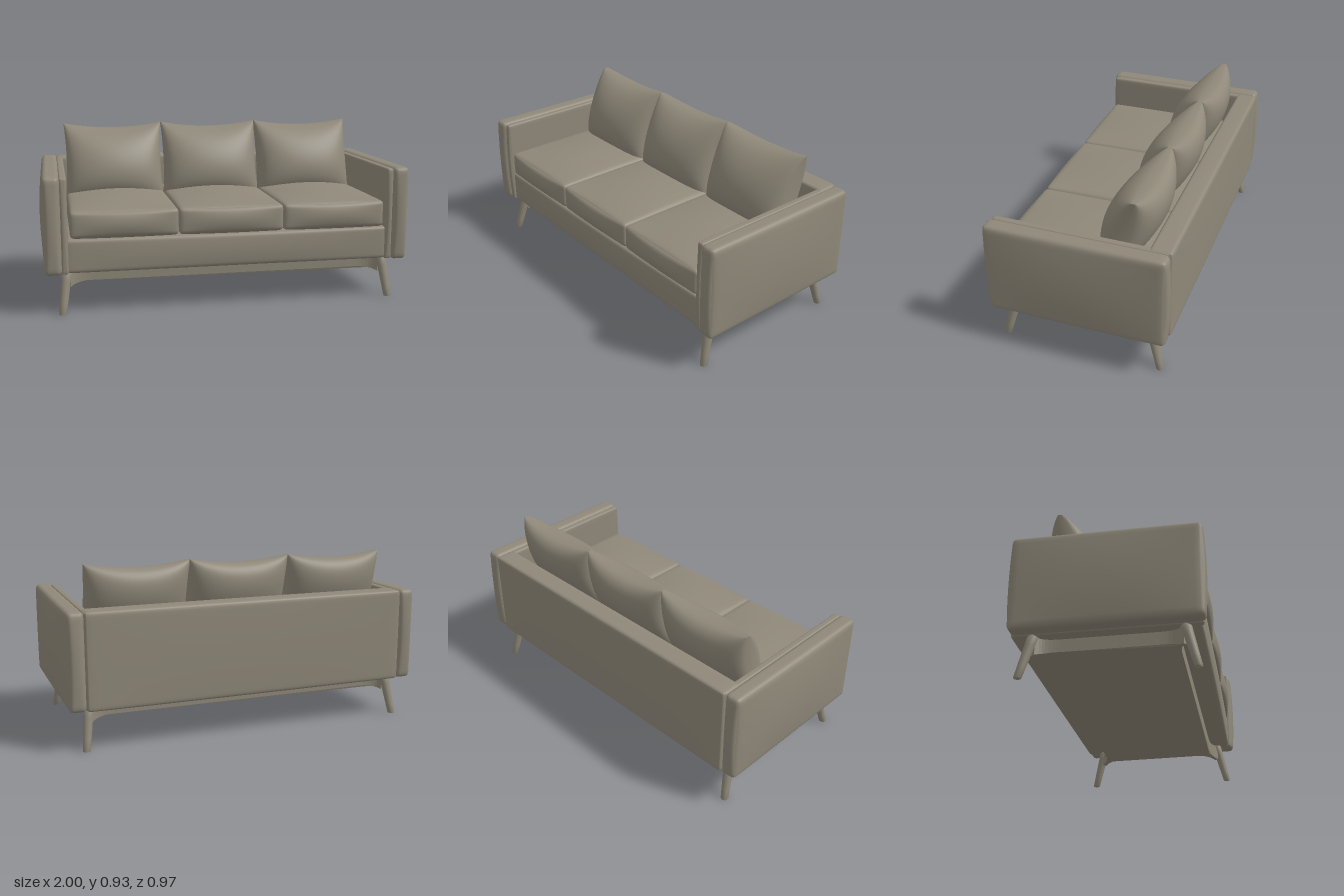
import * as THREE from 'three';
import { mergeVertices } from 'three/addons/utils/BufferGeometryUtils.js';

const fabric = new THREE.MeshStandardMaterial({ color: 0x8f8879 });
fabric.name = 'taupe fabric';

// Moves every vertex of a geometry by a rule and rebuilds smooth normals
function reshape(geometry, rule) {
  geometry.deleteAttribute('uv');
  geometry.deleteAttribute('normal');
  const g = mergeVertices(geometry, 1e-5);
  const p = g.attributes.position;
  const v = new THREE.Vector3();
  for (let i = 0; i < p.count; i++) {
    v.fromBufferAttribute(p, i);
    rule(v);
    p.setXYZ(i, v.x, v.y, v.z);
  }
  g.computeVertexNormals();
  return g;
}

// Upholstered box from min to max: rounded edges of radius r, faces swelling by bulge
function softBox(min, max, r, bulge) {
  const half = max.map((m, i) => (m - min[i]) / 2);
  const mid = max.map((m, i) => (m + min[i]) / 2);
  const axes = ['x', 'y', 'z'];
  const g = reshape(new THREE.BoxGeometry(2, 2, 2, 22, 22, 22), (v) => {
    const t = axes.map((a) => Math.sin((v[a] * Math.PI) / 2));
    const inner = t.map((k, i) => THREE.MathUtils.clamp(k * half[i], r - half[i], half[i] - r));
    const out = new THREE.Vector3(...t.map((k, i) => k * half[i] - inner[i])).setLength(r);
    axes.forEach((a, i) => {
      const [j, k] = [(i + 1) % 3, (i + 2) % 3];
      const swell = bulge[i] * t[i] * (1 - t[j] ** 2) * (1 - t[k] ** 2);
      v[a] = mid[i] + inner[i] + out[a] + swell;
    });
  });
  return g;
}

// Leaning scatter cushion with pinched corners
function pillow() {
  return reshape(new THREE.BoxGeometry(2, 2, 2, 30, 30, 2), (v) => {
    const u = Math.sin((v.x * Math.PI) / 2);
    const w = Math.sin((v.y * Math.PI) / 2);
    const full = Math.max(0, 1 - u * u) ** 0.36 * Math.max(0, 1 - w * w) ** 0.5;
    const depth = 0.01 + (v.z > 0 ? 0.147 : 0.132) * full;
    v.x = u * (0.283 - 0.012 * (1 - w * w));
    v.y = 0.715 + w * (0.218 - 0.028 * (1 - u * u));
    v.z = -0.205 - 0.065 * w + v.z * depth;
  });
}

// Splayed, tapered leg with level ends
function leg(sx, sz) {
  const g = new THREE.CylinderGeometry(0.028, 0.02, 0.23, 20, 4);
  return reshape(g, (v) => {
    v.y += 0.115;
    const k = 1 - v.y / 0.23;
    v.x += sx * (0.867 + 0.028 * k);
    v.z += sz * (0.37 + 0.058 * k);
  });
}

// Underframe whose corners flare out and down into the legs
function underframe() {
  const s = new THREE.Shape();
  const X = 0.83, Z = 0.335, cx = 0.87, cz = 0.38;
  s.moveTo(-0.72, -Z);
  s.lineTo(0.72, -Z);
  s.quadraticCurveTo(X, -Z, cx - 0.02, -cz);
  s.lineTo(cx, -cz + 0.02);
  s.quadraticCurveTo(X, -Z, X, -0.24);
  s.lineTo(X, 0.24);
  s.quadraticCurveTo(X, Z, cx, cz - 0.02);
  s.lineTo(cx - 0.02, cz);
  s.quadraticCurveTo(X, Z, 0.72, Z);
  s.lineTo(-0.72, Z);
  s.quadraticCurveTo(-X, Z, -cx + 0.02, cz);
  s.lineTo(-cx, cz - 0.02);
  s.quadraticCurveTo(-X, Z, -X, 0.24);
  s.lineTo(-X, -0.24);
  s.quadraticCurveTo(-X, -Z, -cx, -cz + 0.02);
  s.lineTo(-cx + 0.02, -cz);
  s.quadraticCurveTo(-X, -Z, -0.72, -Z);
  const g = new THREE.ExtrudeGeometry(s, { depth: 0.07, bevelEnabled: false, curveSegments: 8 });
  g.rotateX(-Math.PI / 2).translate(0, 0.152, 0);
  const p = g.attributes.position;
  for (let i = 0; i < p.count; i++) {
    if (p.getY(i) > 0.2) continue;
    const flare = Math.max(0, (Math.abs(p.getX(i)) - 0.77) / 0.1) * Math.max(0, (Math.abs(p.getZ(i)) - 0.28) / 0.1);
    p.setY(i, 0.152 - 0.027 * flare);
  }
  g.computeVertexNormals();
  return g;
}

export function createModel() {
  const sofa = new THREE.Group();
  sofa.name = 'sofa';
  const add = (name, geometry, x = 0) => {
    const m = new THREE.Mesh(geometry, fabric);
    m.name = name;
    m.position.x = x;
    sofa.add(m);
  };

  // Body
  add('seatBase', softBox([-0.875, 0.22, -0.45], [0.875, 0.4, 0.45], 0.02, [0, 0, 0.01]));
  add('backrest', softBox([-0.893, 0.217, -0.48], [0.893, 0.727, -0.36], 0.018, [0, 0.003, 0.005]));

  // Arms: thick outer pad and thin inner panel
  for (const [side, s] of [['left', 1], ['right', -1]]) {
    const span = (a, b) => (s > 0 ? [a, b] : [-b, -a]);
    const [o0, o1] = span(0.893, 0.982);
    const [i0, i1] = span(0.858, 0.897);
    add(side + 'ArmOuter', softBox([o0, 0.217, -0.473], [o1, 0.728, 0.473], 0.025, [0.018, 0, 0.012]));
    add(side + 'ArmInner', softBox([i0, 0.219, -0.465], [i1, 0.722, 0.46], 0.012, [0, 0, 0.01]));
  }

  // Three seat cushions and three back cushions
  for (const i of [-1, 0, 1]) {
    add('seatCushion', softBox([-0.282, 0.402, -0.37], [0.282, 0.545, 0.455], 0.022, [0, 0.035, 0.022]), i * 0.566);
    add('backCushion', pillow(), i * 0.567);
  }

  // Underframe and legs
  add('underframe', underframe());
  for (const sx of [-1, 1]) for (const sz of [-1, 1]) add(sz > 0 ? 'frontLeg' : 'backLeg', leg(sx, sz));
  return sofa;
}
